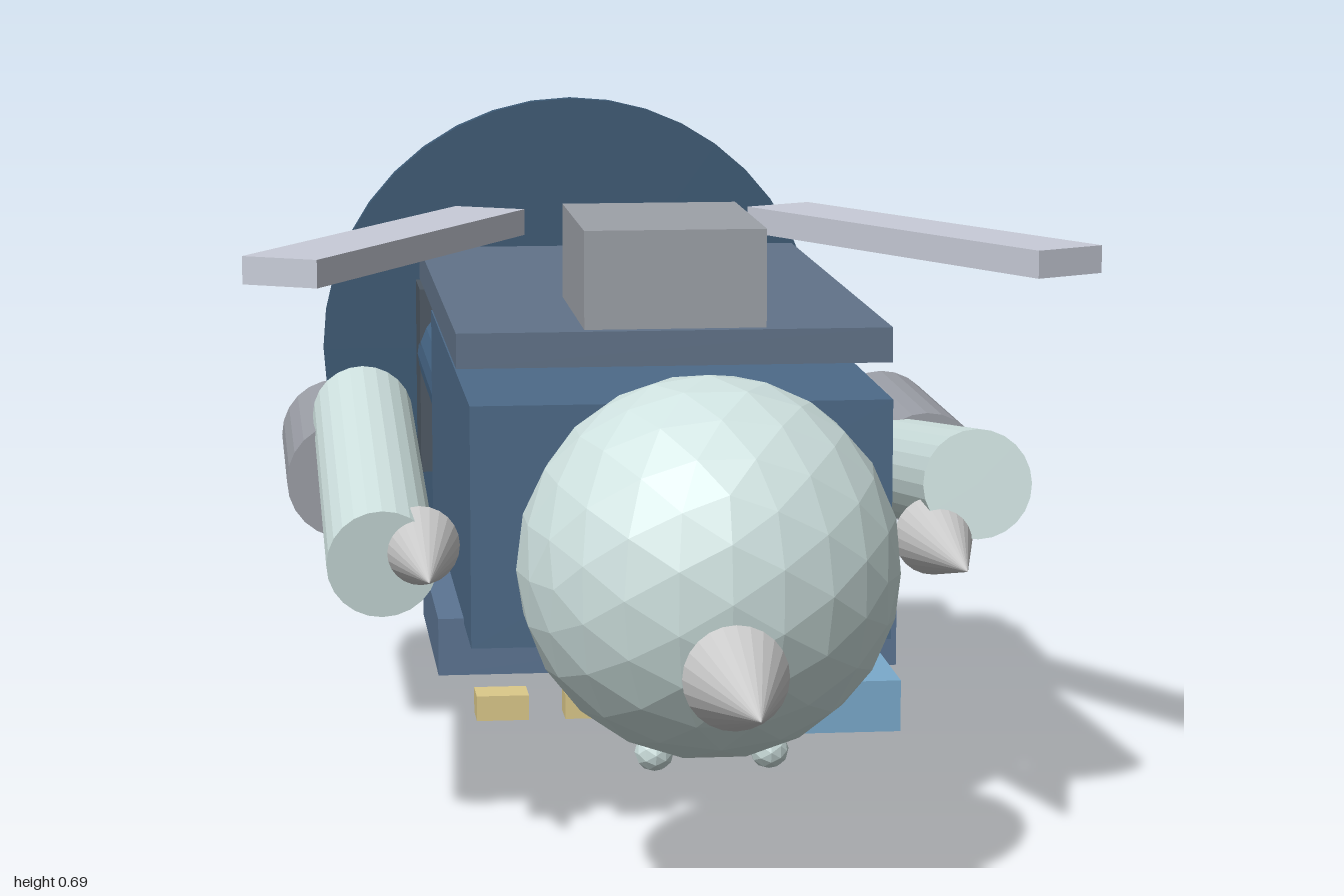
import * as THREE from 'three';

const mats = {};
function mat(color) {
  return (mats[color] ??= new THREE.MeshStandardMaterial({ color, flatShading: true }));
}

export function createModel() {
  const model = new THREE.Group();
  model.name = 'lyingFigure';

  function add(name, geometry, color, x, y, z) {
    const mesh = new THREE.Mesh(geometry, mat(color));
    mesh.name = name;
    mesh.position.set(x, y, z);
    model.add(mesh);
    return mesh;
  }
  // Box given by its extents
  function box(name, color, [x0, x1], [y0, y1], [z0, z1]) {
    return add(name, new THREE.BoxGeometry(x1 - x0, y1 - y0, z1 - z0), color,
      (x0 + x1) / 2, (y0 + y1) / 2, (z0 + z1) / 2);
  }
  // Cylinder or cone between two points, second radius at the end
  function rod(name, color, a, b, r0, r1 = r0, sides = 24) {
    const from = new THREE.Vector3(...a), to = new THREE.Vector3(...b);
    const dir = to.clone().sub(from);
    const mid = from.clone().add(to).multiplyScalar(0.5);
    const mesh = add(name, new THREE.CylinderGeometry(r1, r0, dir.length(), sides), color, mid.x, mid.y, mid.z);
    mesh.quaternion.setFromUnitVectors(new THREE.Vector3(0, 1, 0), dir.normalize());
    return mesh;
  }
  function ball(name, color, r, detail, x, y, z) {
    return add(name, new THREE.IcosahedronGeometry(r, detail), color, x, y, z);
  }

  const PALE = 0xcfe2e0, GREY = 0xcccccc;

  // Base disc behind the feet
  rod('baseDisc', 0x3d5a75, [0, 0.343, -1], [0, 0.343, -0.98], 0.343, 0.343, 40);

  // Torso and the plates above and below it
  box('torso', 0x4d6a88, [-0.225, 0.225], [0.215, 0.475], [-0.39, 0.37]);
  box('backPlate', 0x617389, [-0.235, 0.235], [0.505, 0.543], [-0.472, 0.305]);
  box('backPack', 0x9da1a8, [-0.098, 0.098], [0.545, 0.651], [0.035, 0.305]);
  box('chestPlate', 0x5c7593, [-0.253, 0.253], [0.157, 0.22], [-0.08, 0.24]);

  // Fittings under the chest
  box('chestBar', 0x7aaacb, [0.12, 0.225], [0.13, 0.185], [-0.42, 0.437]);
  for (const x of [-0.19, -0.095]) {
    box('chestBadge', 0xdcc98a, [x - 0.028, x + 0.028], [0.13, 0.157], [0.3, 0.345]);
  }

  // Neck, head and the pointed tip in front
  rod('neck', PALE, [0, 0.345, 0.35], [0, 0.345, 0.46], 0.066);
  ball('head', PALE, 0.194, 3, 0, 0.346, 0.603);
  rod('headCone', GREY, [0, 0.28, 0.82], [0, 0.28, 1], 0.052, 0);

  for (const s of [-1, 1]) {
    ball('eye', PALE, 0.02, 1, s * 0.058, 0.163, 0.63);

    // Legs and feet
    rod('leg', 0x476888, [s * 0.139, 0.348, -0.89], [s * 0.139, 0.348, -0.37], 0.079);
    box('foot', 0x4d5863, [s * 0.138 - 0.078, s * 0.138 + 0.078], [0.19, 0.44], [-0.963, -0.858]);

    // Arms: the upper parts tilt in opposite directions
    rod('upperArm', PALE, [s * 0.318, 0.344 - s * 0.037, -0.176], [s * 0.318, 0.344 + s * 0.037, 0.365], 0.059);
    rod('forearm', 0x9c9fa7, [s * 0.342, 0.318, -0.418], [s * 0.342, 0.318, -0.082], 0.068);
    ball('hand', PALE, 0.063, 1, s * 0.342, 0.316, -0.457);
    rod('shoulderCone', GREY, [s * 0.277, 0.32, 0.333], [s * 0.277, 0.32, 0.533], 0.043, 0);

    // Slanted wing strips
    const wing = add('wing', new THREE.BoxGeometry(0.088, 0.03, 0.525), 0xc8ccd8, s * 0.295, 0.615, 0.105);
    wing.rotation.y = s * 0.5;
  }

  return model;
}
